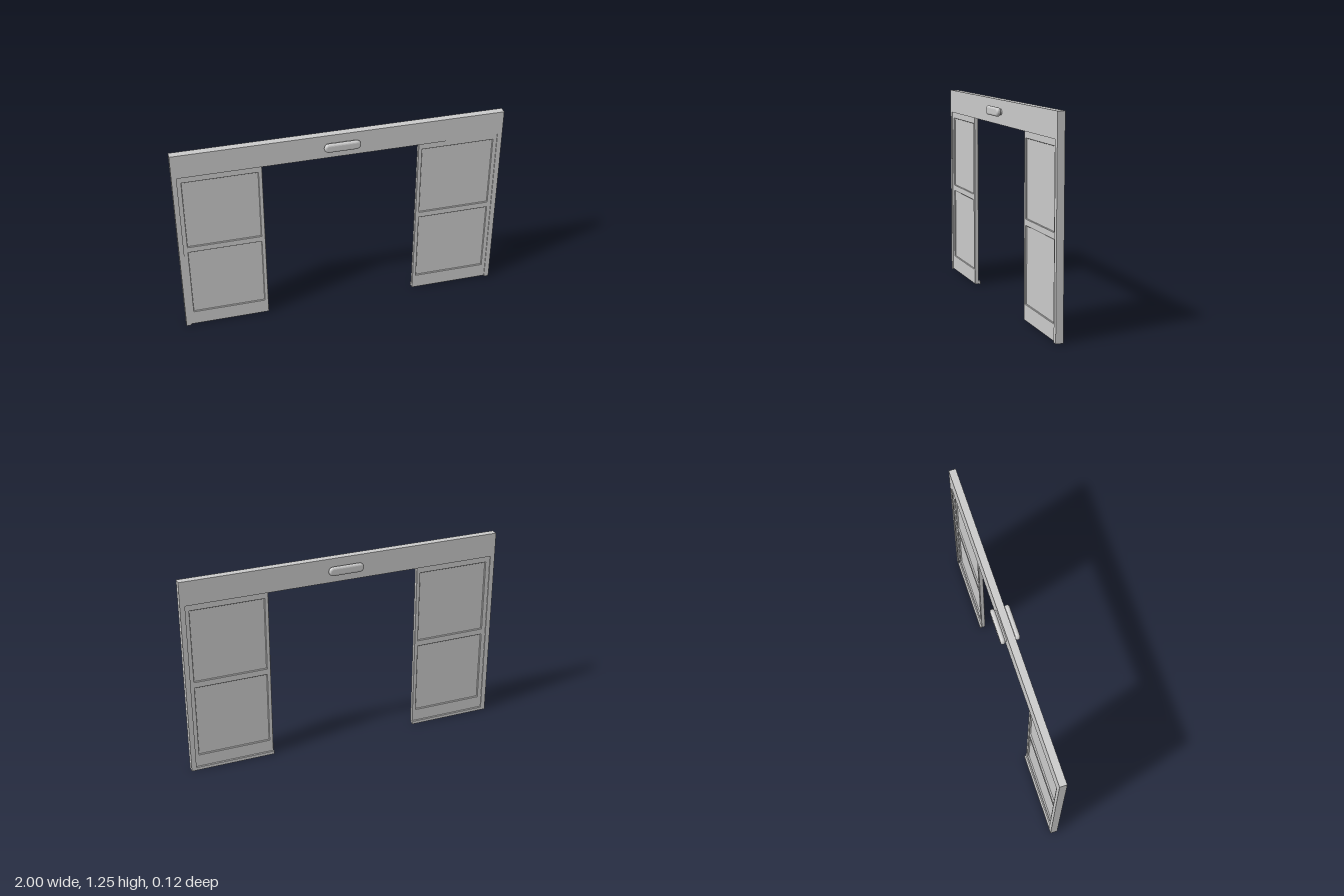
import * as THREE from 'three';

const material = new THREE.MeshStandardMaterial({ color: 0xcccccc });
const D = 0.022; // half depth of the frame

function add(parent, name, geometry) {
  const mesh = new THREE.Mesh(geometry, material);
  mesh.name = name;
  parent.add(mesh);
  return mesh;
}

// box given by its lower and upper corners
function box(parent, name, [x0, y0, z0], [x1, y1, z1]) {
  const mesh = add(parent, name, new THREE.BoxGeometry(x1 - x0, y1 - y0, z1 - z0));
  mesh.position.set((x0 + x1) / 2, (y0 + y1) / 2, (z0 + z1) / 2);
  return mesh;
}

function rect(PathType, x0, y0, x1, y1) {
  const p = new PathType();
  p.moveTo(x0, y0);
  p.lineTo(x1, y0);
  p.lineTo(x1, y1);
  p.lineTo(x0, y1);
  p.closePath();
  return p;
}

// upright stadium outline, centred on the origin
function stadium(halfLength, radius) {
  const s = new THREE.Shape();
  const c = halfLength - radius;
  s.absarc(c, 0, radius, -Math.PI / 2, Math.PI / 2, false);
  s.absarc(-c, 0, radius, Math.PI / 2, Math.PI * 1.5, false);
  s.closePath();
  return s;
}

// pill-shaped grip on a narrower neck
function createHandle() {
  const handle = new THREE.Group();
  handle.name = 'handle';
  const neck = new THREE.ExtrudeGeometry(stadium(0.1, 0.018), { depth: 0.024, bevelEnabled: false, curveSegments: 12 });
  add(handle, 'handleNeck', neck).position.z = D - 0.004;
  const grip = new THREE.ExtrudeGeometry(stadium(0.096, 0.0135), {
    depth: 0.004, bevelThickness: 0.012, bevelSize: 0.014, bevelSegments: 6, curveSegments: 12,
  });
  add(handle, 'handleGrip', grip).position.z = 0.042;
  handle.position.y = 1.178;
  return handle;
}

// one panel on the +x side with its jamb
function createSide() {
  const side = new THREE.Group();

  // jamb: a channel open towards the doorway
  const j = 0.97, t = 0.005;
  const jamb = new THREE.Group();
  jamb.name = 'jamb';
  side.add(jamb);
  box(jamb, 'jambOuterWall', [1 - t, 0, -D], [1, 1.1, D]);
  box(jamb, 'jambFrontWall', [j, 0, D - t], [1 - t, 1.1, D]);
  box(jamb, 'jambBackWall', [j, 0, -D], [1 - t, 1.1, -D + t]);

  // panel frame with two window openings
  const shape = rect(THREE.Shape, 0.474, 0.002, 0.982, 1.112);
  const windows = [[0.1, 0.56], [0.6, 1.06]];
  for (const [y0, y1] of windows) shape.holes.push(rect(THREE.Path, 0.498, y0, 0.945, y1));
  const bevel = 0.002;
  const frame = new THREE.ExtrudeGeometry(shape, {
    depth: 0.022, bevelThickness: bevel, bevelSize: bevel, bevelOffset: -bevel, bevelSegments: 1,
  });
  add(side, 'panelFrame', frame).position.z = -0.009;
  for (const [y0, y1] of windows) {
    box(side, 'windowPane', [0.494, y0 - 0.004, 0], [0.949, y1 + 0.004, 0.006]);
  }

  // floor rail behind the panel
  box(side, 'floorRail', [0.472, 0, -D], [0.975, 0.02, -0.01]);
  return side;
}

export function createModel() {
  const model = new THREE.Group();
  model.name = 'slidingDoor';

  // header: a channel open at the bottom
  const profile = new THREE.Shape();
  const t = 0.005;
  [[-D, 1.1], [-D + t, 1.1], [-D + t, 1.235], [D - t, 1.235], [D - t, 1.1], [D, 1.1], [D, 1.25], [-D, 1.25]]
    .forEach(([z, y], i) => (i ? profile.lineTo(z, y) : profile.moveTo(z, y)));
  profile.closePath();
  const header = add(model, 'header', new THREE.ExtrudeGeometry(profile, { depth: 2, bevelEnabled: false }));
  header.rotation.y = Math.PI / 2;
  header.position.x = -1;

  // header end caps
  for (const s of [-1, 1]) {
    box(model, 'headerEnd', [s * 0.9975 - 0.0025, 1.1, -D + t], [s * 0.9975 + 0.0025, 1.24, D - t]);
  }

  // matching panels, mirrored across the doorway
  const left = createSide();
  left.name = 'leftPanel';
  const right = createSide();
  right.name = 'rightPanel';
  right.scale.x = -1;
  model.add(left, right);

  // handles on both faces
  const front = createHandle();
  const back = createHandle();
  back.rotation.y = Math.PI;
  model.add(front, back);
  return model;
}
